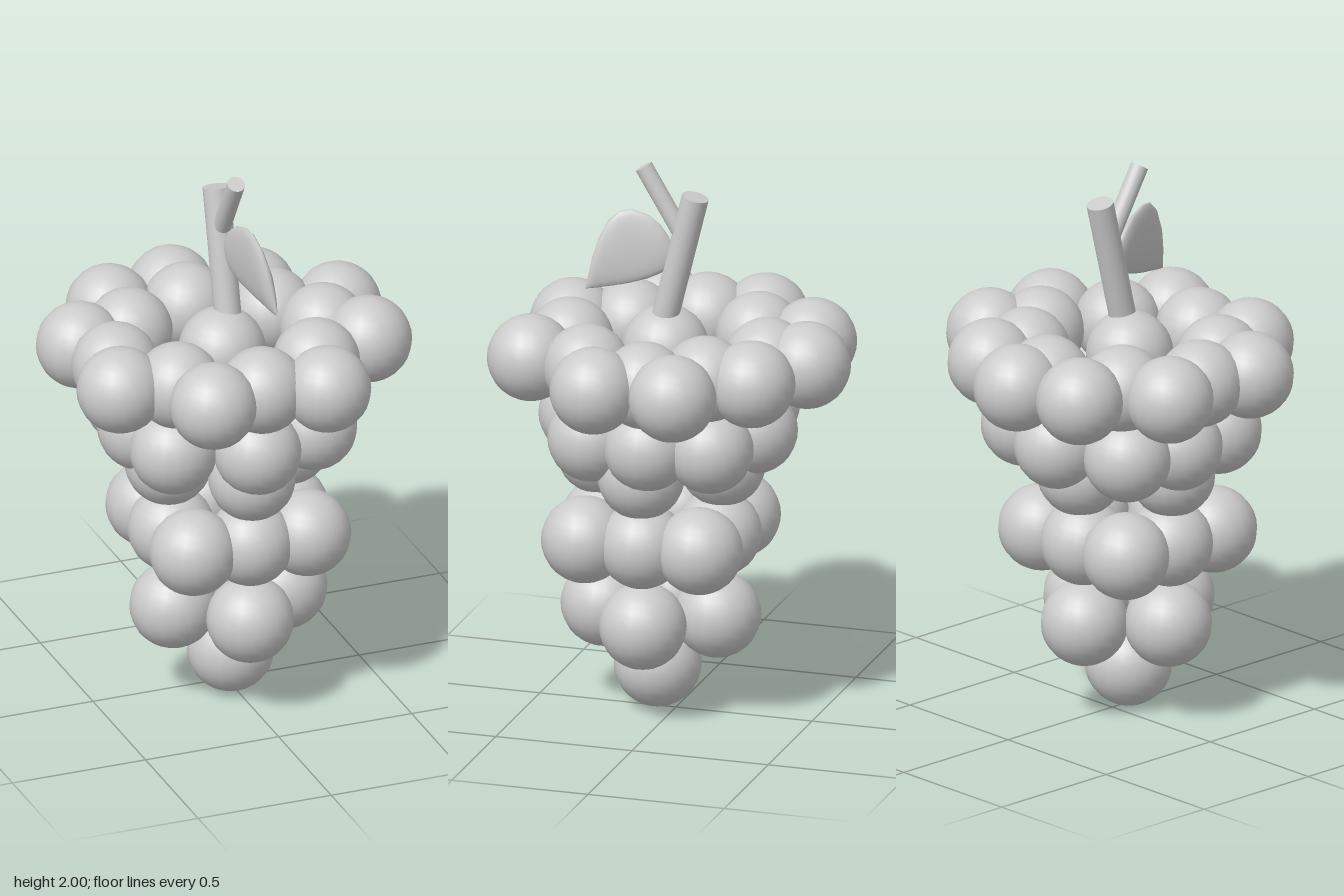
import * as THREE from 'three';

const material = new THREE.MeshStandardMaterial({ color: 0xcccccc });
const leafMaterial = new THREE.MeshStandardMaterial({ color: 0xcccccc, side: THREE.DoubleSide });
const grapeGeometry = new THREE.SphereGeometry(0.154, 20, 16);

// One horizontal layer of grapes, given as [x, z] centres
function grapeLayer(name, y, centres) {
  const layer = new THREE.Group();
  layer.name = name;
  for (const [x, z] of centres) {
    const grape = new THREE.Mesh(grapeGeometry, material);
    grape.name = 'grape';
    grape.position.set(x, y, z);
    layer.add(grape);
  }
  return layer;
}

// Four grapes in a cross around the bunch's axis
const cross = (r, cx = -0.015, cz = 0.06) =>
  [[cx + r, cz], [cx - r, cz], [cx, cz + r], [cx, cz - r]];

// Straight round stick between two points
function stick(name, from, to, radius) {
  const a = new THREE.Vector3(...from), b = new THREE.Vector3(...to);
  const dir = b.clone().sub(a);
  const mesh = new THREE.Mesh(new THREE.CylinderGeometry(radius, radius, dir.length(), 20), material);
  mesh.name = name;
  mesh.position.copy(a).add(b).multiplyScalar(0.5);
  mesh.quaternion.setFromUnitVectors(new THREE.Vector3(0, 1, 0), dir.normalize());
  return mesh;
}

// Lens-shaped leaf lofted through slim oval sections [z, lower y, upper y]
function makeLeaf() {
  const sections = [
    [0.015, 1.65, 1.69], [0.03, 1.617, 1.735], [0.06, 1.6, 1.777], [0.1, 1.582, 1.81],
    [0.16, 1.565, 1.83], [0.2, 1.557, 1.822], [0.24, 1.55, 1.785], [0.27, 1.545, 1.72],
    [0.29, 1.542, 1.65], [0.31, 1.54, 1.542],
  ];
  const sides = 20, positions = [], index = [];
  sections.forEach(([z, low, high], i) => {
    const half = (high - low) / 2, thick = Math.min(0.022, half * 0.25);
    for (let j = 0; j < sides; j++) {
      const a = (j / sides) * Math.PI * 2;
      const y = (low + high) / 2 + half * Math.sin(a);
      const lean = 0.22 * (z - 0.02) + 0.1 * (1.7 - y) - 0.008;
      positions.push(lean + thick * Math.cos(a), y, z);
      if (i === 0) continue;
      const k = (j + 1) % sides, p = (i - 1) * sides, q = i * sides;
      index.push(p + j, p + k, q + j, p + k, q + k, q + j);
    }
  });
  const geometry = new THREE.BufferGeometry();
  geometry.setAttribute('position', new THREE.Float32BufferAttribute(positions, 3));
  geometry.setIndex(index);
  geometry.computeVertexNormals();
  const leaf = new THREE.Mesh(geometry, leafMaterial);
  leaf.name = 'leaf';
  return leaf;
}

export function createModel() {
  const model = new THREE.Group();
  model.name = 'grapeBunch';

  // Grapes, from the bottom tip up to the wide crown
  model.add(grapeLayer('bottomGrape', 0.159, [[-0.01, 0.07]]));
  model.add(grapeLayer('lowerGrapes', 0.36, cross(0.207)));

  const square = [];
  for (const i of [-1, 0, 1]) for (const j of [-1, 0, 1]) {
    if (i || j) square.push([-0.015 + i * 0.214, 0.06 + j * 0.21]);
  }
  model.add(grapeLayer('middleGrapes', 0.66, square));
  model.add(grapeLayer('upperMiddleGrapes', 0.92, cross(0.225)));

  model.add(grapeLayer('upperGrapes', 1.05, [
    [-0.02, 0.35], [0.235, 0.235], [0.28, 0.015], [0.235, -0.2],
    [-0.02, -0.28], [-0.29, -0.2], [-0.325, 0.015], [-0.29, 0.235],
  ]));
  model.add(grapeLayer('crownInnerGrapes', 1.31, [
    [-0.02, 0.395], [0.24, 0.25], [0.365, 0], [0.24, -0.185],
    [-0.02, -0.33], [-0.28, -0.215], [-0.425, 0.02], [-0.28, 0.25],
  ]));
  model.add(grapeLayer('crownOuterGrapes', 1.31, [
    [-0.02, -0.475], [0.24, -0.355], [0.475, -0.14], [0.475, 0.15], [0.195, 0.47],
    [-0.225, 0.45], [-0.48, 0.21], [-0.48, -0.175], [-0.275, -0.415],
  ]));
  model.add(grapeLayer('crownCentreGrape', 1.315, [[-0.035, 0.05]]));

  // Stem, side twig and leaf
  model.add(stick('stem', [-0.01, 1.35, 0.065], [-0.01, 1.89, -0.068], 0.048));
  model.add(stick('twig', [-0.01, 1.74, -0.025], [-0.01, 1.984, 0.122], 0.032));
  model.add(makeLeaf());
  return model;
}
